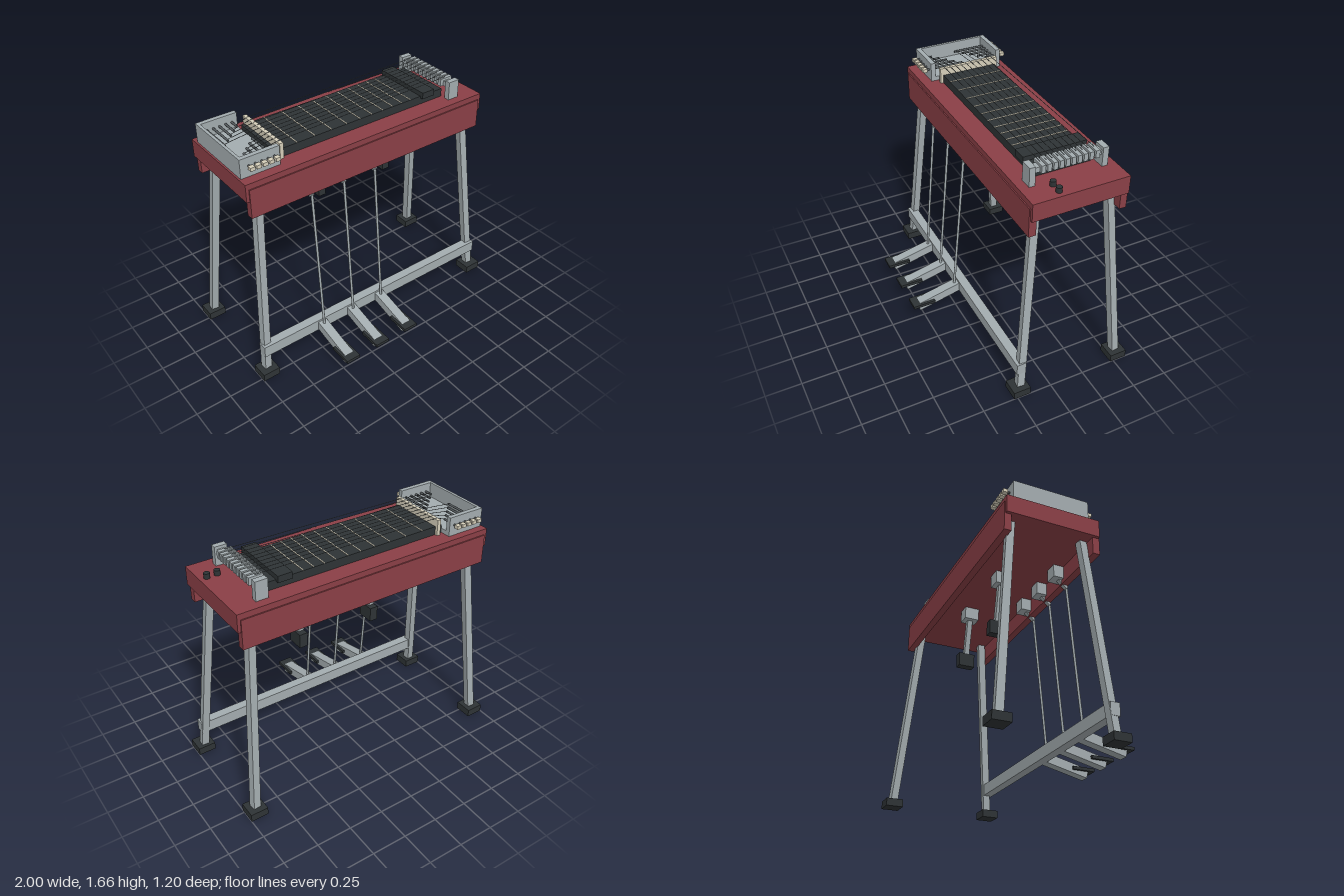
import * as THREE from 'three';

const mat = (color) => new THREE.MeshStandardMaterial({ color });
const RED = mat(0x8a3f46), STEEL = mat(0xa3acaf), DARK = mat(0x2e3335), CREAM = mat(0xd6cfba), WIRE = mat(0x565c5f);

export function createModel() {
  const model = new THREE.Group();
  model.name = 'pedalSteelGuitar';

  const add = (name, geometry, material, parent = model) => {
    const mesh = new THREE.Mesh(geometry, material);
    mesh.name = name;
    parent.add(mesh);
    return mesh;
  };
  const group = (name) => {
    const g = new THREE.Group();
    g.name = name;
    model.add(g);
    return g;
  };
  // Box given by its lower and upper limits on each axis
  const box = (name, [x0, x1], [y0, y1], [z0, z1], material, parent) => {
    const m = add(name, new THREE.BoxGeometry(x1 - x0, y1 - y0, z1 - z0), material, parent);
    m.position.set((x0 + x1) / 2, (y0 + y1) / 2, (z0 + z1) / 2);
    return m;
  };
  // Lay a y-aligned geometry between two points
  const span = (name, a, b, makeGeometry, material, parent) => {
    const p = new THREE.Vector3(...a), q = new THREE.Vector3(...b);
    const d = q.clone().sub(p);
    const m = add(name, makeGeometry(d.length()), material, parent);
    m.position.copy(p).add(q).multiplyScalar(0.5);
    m.quaternion.setFromUnitVectors(new THREE.Vector3(0, 1, 0), d.normalize());
    return m;
  };
  const bar = (name, a, b, w, t, material, parent) =>
    span(name, a, b, (l) => new THREE.BoxGeometry(w, l, t), material, parent);
  const rod = (name, a, b, r, material, parent, sides = 8) =>
    span(name, a, b, (l) => new THREE.CylinderGeometry(r, r, l, sides), material, parent);

  // Body slab with front and back aprons
  const body = group('body');
  box('bodySlab', [-0.943, 0.943], [1.4, 1.525], [-0.49, 0.167], RED, body);
  box('frontApron', [-0.922, 0.922], [1.28, 1.485], [0.125, 0.175], RED, body);
  box('backApron', [-0.922, 0.922], [1.28, 1.485], [-0.498, -0.45], RED, body);

  // Splayed legs with rubber feet
  const legs = group('legs');
  for (const s of [-1, 1]) {
    for (const [zTop, zBottom, zFoot] of [[0.09, 0.206, 0.215], [-0.418, -0.537, -0.538]]) {
      bar('leg', [s * 0.831, 1.41, zTop], [s * 0.937, 0.03, zBottom], 0.052, 0.052, STEEL, legs);
      box('foot', [s * 0.938 - 0.062, s * 0.938 + 0.062], [0, 0.055],
        [zFoot - 0.061, zFoot + 0.061], DARK, legs);
    }
  }
  box('pedalBar', [-0.955, 0.955], [0.17, 0.255], [0.17, 0.236], STEEL, legs);

  // Foot pedals with pull rods and bell cranks
  for (const x of [-0.485, -0.235, 0.015]) {
    const pedal = group('pedal');
    bar('pedalArm', [x, 0.213, 0.21], [x, 0.133, 0.555], 0.068, 0.066, STEEL, pedal);
    box('pedalPad', [x - 0.053, x + 0.053], [0.147, 0.169], [0.435, 0.6], DARK, pedal);
    rod('pullRod', [x, 0.2, 0.262], [x, 1.272, 0.168], 0.009, STEEL, pedal);
    box('crankMount', [x - 0.045, x + 0.045], [1.31, 1.4], [0.05, 0.125], STEEL, pedal);
    bar('crankArm', [x, 1.325, 0.095], [x, 1.262, 0.17], 0.03, 0.018, STEEL, pedal);
  }

  // Knee levers under the body
  for (const x of [-0.25, 0.311]) {
    const lever = group('kneeLever');
    box('leverMount', [x - 0.045, x + 0.045], [1.31, 1.4], [-0.27, -0.165], STEEL, lever);
    bar('leverArm', [x, 1.35, -0.218], [x + 0.063, 1.03, -0.218], 0.037, 0.037, STEEL, lever);
    box('leverPad', [x + 0.036, x + 0.094], [0.957, 1.057], [-0.277, -0.16], DARK, lever);
  }

  // Fretboard with fret lines, pickup and nut
  const neck = group('neck');
  box('fretboard', [-0.65, 0.7], [1.525, 1.583], [-0.365, 0.03], DARK, neck);
  for (const x of [-0.487, -0.353, -0.225, -0.107, 0, 0.096, 0.187, 0.27, 0.348, 0.422])
    box('fret', [x - 0.003, x + 0.003], [1.58, 1.586], [-0.363, 0.028], CREAM, neck);
  box('pickup', [0.51, 0.61], [1.57, 1.615], [-0.387, 0.053], DARK, neck);
  box('nut', [-0.624, -0.598], [1.525, 1.634], [-0.385, 0.05], CREAM, neck);

  // Open key head tray
  const head = group('keyHead');
  box('headFloor', [-0.93, -0.655], [1.525, 1.555], [-0.438, 0.097], STEEL, head);
  box('headFrontWall', [-0.93, -0.655], [1.525, 1.658], [0.065, 0.097], STEEL, head);
  box('headBackWall', [-0.93, -0.655], [1.525, 1.658], [-0.438, -0.406], STEEL, head);
  box('headEndWall', [-0.93, -0.91], [1.525, 1.658], [-0.438, 0.097], STEEL, head);

  // Ten strings, each with its tuner and bridge finger
  const strings = group('strings'), bridge = group('bridge');
  for (let i = 0; i < 10; i++) {
    const z = -0.35 + i * 0.0405;
    const back = i < 5;
    const x = -0.695 - (i % 5) * 0.044;
    const wall = back ? -0.41 : 0.07, out = back ? -1 : 1;
    const button = wall + out * 0.062;
    rod('tunerShaft', [x, 1.6, z - out * 0.01], [x, 1.6, button], 0.008, WIRE, head);
    box('tunerButton', [x - 0.016, x + 0.016], [1.588, 1.612],
      [button - 0.016, button + 0.016], CREAM, head);
    rod('stringTail', [x, 1.606, z], [-0.611, 1.634, z], 0.002, WIRE, strings, 5);
    rod('string', [-0.611, 1.634, z], [0.74, 1.653, z], 0.002, WIRE, strings, 5);
    box('bridgeFinger', [0.69, 0.79], [1.6, 1.652], [z - 0.014, z + 0.014], STEEL, bridge);
  }

  // Bridge posts and crossbar
  for (const z of [-0.409, 0.085])
    box('bridgePost', [0.7, 0.785], [1.525, 1.655], [z - 0.02, z + 0.02], STEEL, bridge);
  box('bridgeBar', [0.715, 0.768], [1.6, 1.635], [-0.41, 0.085], STEEL, bridge);

  // Control knobs
  for (const x of [0.825, 0.894])
    add('knob', new THREE.CylinderGeometry(0.02, 0.02, 0.036, 16), DARK).position.set(x, 1.542, -0.03);

  return model;
}
